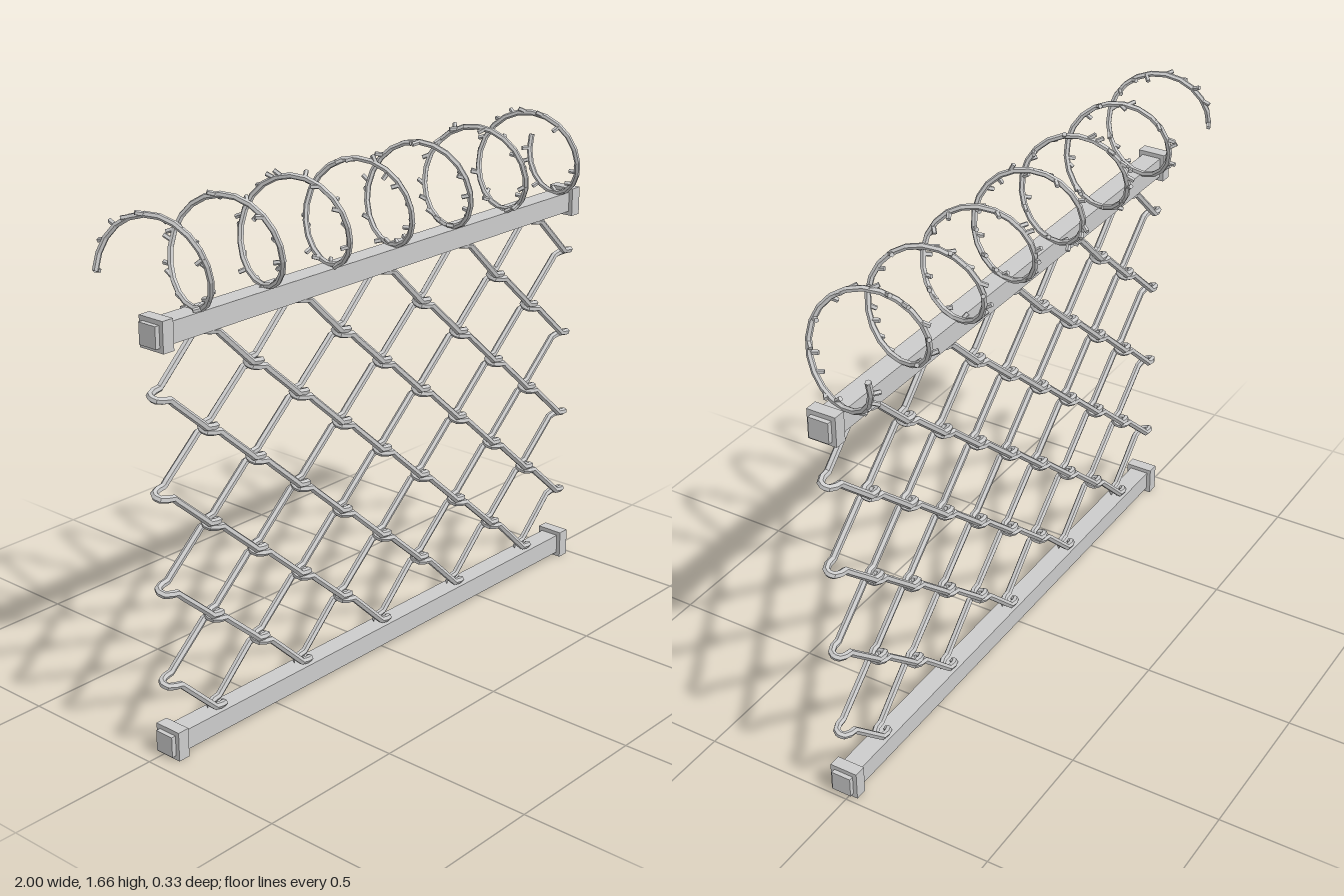
import * as THREE from 'three';

const V = (x, y, z) => new THREE.Vector3(x, y, z);

// Straight runs between points, one tube ring per point
class Polyline extends THREE.Curve {
  constructor(points) {
    super();
    this.points = points;
  }
  getPointAt(u) {
    return this.points[Math.round(u * (this.points.length - 1))].clone();
  }
  getTangentAt(u) {
    const p = this.points, last = p.length - 1, k = Math.round(u * last);
    const into = p[Math.max(k, 1)].clone().sub(p[Math.max(k, 1) - 1]).normalize();
    const out = p[Math.min(k + 1, last)].clone().sub(p[Math.min(k, last - 1)]).normalize();
    return into.add(out).normalize();
  }
}

export function createModel() {
  const model = new THREE.Group();
  model.name = 'barbedFencePanel';
  const steel = new THREE.MeshStandardMaterial({ color: 0xcccccc, flatShading: true });

  const add = (geometry, name, parent = model) => {
    const mesh = new THREE.Mesh(geometry, steel);
    mesh.name = name;
    parent.add(mesh);
    return mesh;
  };
  const addWire = (points, radius, name, parent) =>
    add(new THREE.TubeGeometry(new Polyline(points), points.length - 1, radius, 6), name, parent);

  // Square rails with a collar near each end
  const midZ = 0.019;
  for (const [name, y] of [['bottomRail', 0.047], ['topRail', 1.314]]) {
    add(new THREE.BoxGeometry(1.95, 0.066, 0.066), name).position.set(0.02, y, midZ);
    for (const x of [-0.92, 0.96]) {
      add(new THREE.BoxGeometry(0.04, 0.094, 0.094), name + 'Collar').position.set(x, y, midZ);
    }
  }

  // Chain-link mesh: flattened spirals hooked into their neighbours
  const mesh = new THREE.Group();
  mesh.name = 'chainLinkMesh';
  model.add(mesh);
  const columnX = (i) => 0.02 + (i - 5) * 0.189;
  const rowY = (j) => 0.686 + (4 - j) * 0.148;
  // Half of a hooked turn, from its tip to the straight leg: [inward x, y, depth]
  const halfTurn = [[-0.022, 0.001, 0.15], [-0.017, 0.005, 0.65], [0.002, 0.009, 1], [0.026, 0.013, 1], [0.042, 0.028, 1]];
  for (let i = 0; i < 10; i++) {
    const points = [];
    for (let j = 0; j <= 8; j++) {
      const column = (i % 2 === 1) === (j % 2 === 0) ? i : i + 1;
      const inward = column === i ? 1 : -1;
      // The end turns tuck against the rails
      const y = rowY(j) + (j === 0 ? 0.008 : j === 8 ? -0.008 : 0);
      const half = (up) => halfTurn.map(([dx, dy, depth]) =>
        V(columnX(column) + inward * dx, y + up * dy, midZ - up * inward * depth * 0.02));
      if (j > 0) points.push(...half(1).reverse());
      if (j < 8) points.push(...half(-1));
    }
    addWire(points, 0.0115, 'linkWire', mesh);
  }

  // Coil of wire lying along the top rail
  const coil = new THREE.Group();
  coil.name = 'barbedCoil';
  model.add(coil);
  const radius = 0.147, pitch = 0.28, startX = -0.988, endX = 0.982;
  const coilPoint = (t) => {
    const x = startX + t * (endX - startX);
    const a = ((x + 0.912) / pitch) * Math.PI * 2;
    return V(x, 1.495 + radius * Math.cos(a), 0.004 + radius * Math.sin(a));
  };
  const coilPoints = Array.from({ length: 141 }, (_, k) => coilPoint(k / 140));
  addWire(coilPoints, 0.0095, 'coilWire', coil);

  // Short plugs close the open ends of the coil
  for (const [end, next] of [[0, 1], [140, 139]]) {
    const plug = add(new THREE.CylinderGeometry(0.0095, 0.0095, 0.004, 6), 'coilEnd', coil);
    plug.position.copy(coilPoints[end]);
    plug.quaternion.setFromUnitVectors(V(0, 1, 0), coilPoints[end].clone().sub(coilPoints[next]).normalize());
  }

  // Barbs: short stubs leaning mostly backwards
  let seed = 7;
  const random = () => (seed = (seed * 16807) % 2147483647) / 2147483647;
  const barbGeometry = new THREE.CylinderGeometry(0.0075, 0.0075, 0.03, 5);
  barbGeometry.translate(0, 0.013, 0);
  const barbCount = 130;
  for (let k = 0; k < barbCount; k++) {
    const barb = add(barbGeometry, 'barb', coil);
    barb.position.copy(coilPoint((k + random()) / barbCount));
    const direction = V(random() * 2 - 1, random() * 1.4 - 0.7, -0.3 - random() * 0.7).normalize();
    barb.quaternion.setFromUnitVectors(V(0, 1, 0), direction);
  }

  return model;
}
